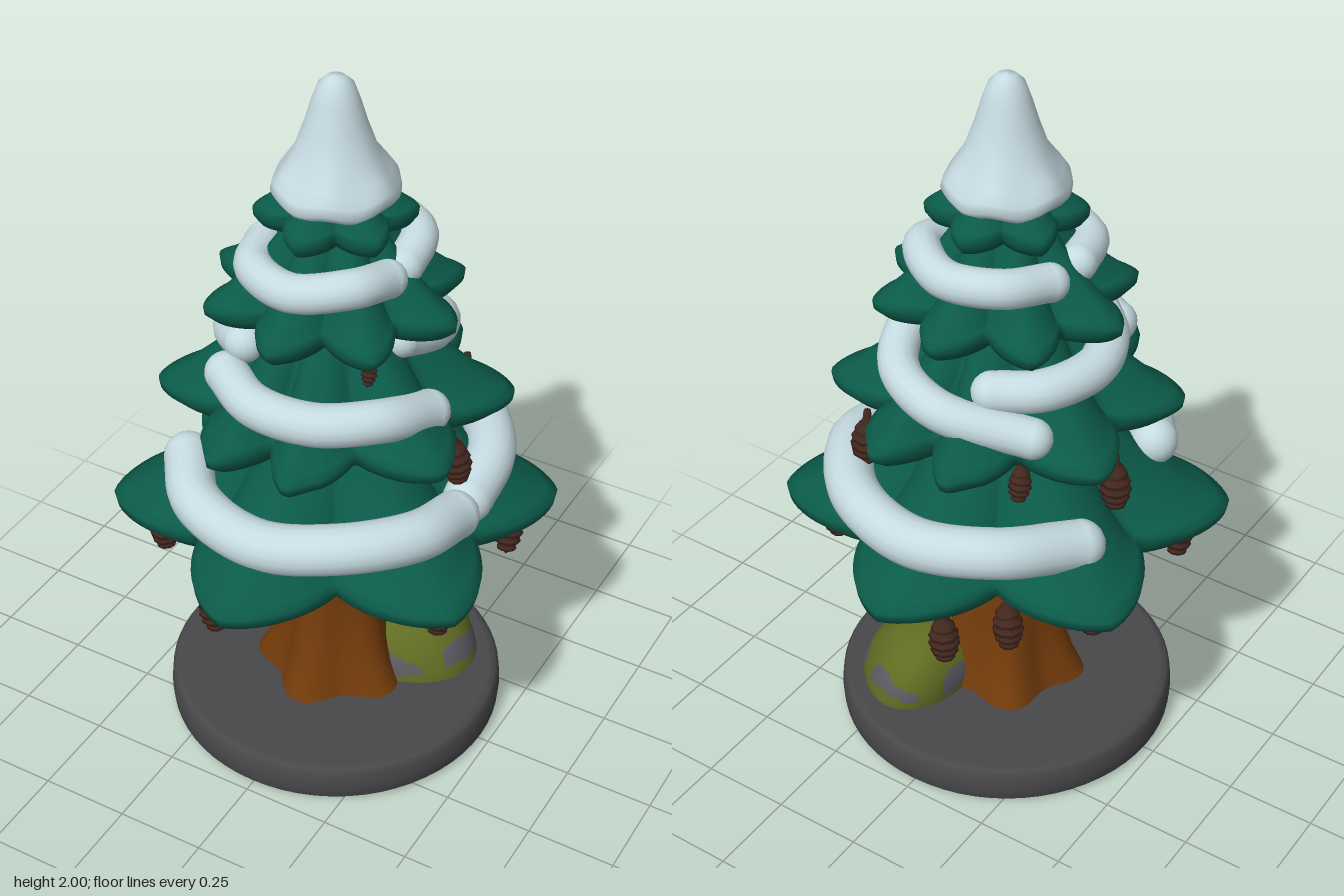
import * as THREE from 'three';

const mat = (name, color) => {
  const m = new THREE.MeshStandardMaterial({ color });
  m.name = name;
  return m;
};
const RAD = Math.PI / 180;

// Closed surface of revolution with free shape: at(row, angle) gives [radius, y], rows run top to bottom
function loft(rows, seg, at) {
  const pos = [], idx = [];
  for (let i = 0; i < rows; i++) {
    for (let j = 0; j < seg; j++) {
      const a = (j / seg) * Math.PI * 2;
      const [r, y] = at(i, a);
      pos.push(r * Math.cos(a), y, r * Math.sin(a));
    }
  }
  for (let i = 0; i < rows - 1; i++) {
    for (let j = 0; j < seg; j++) {
      const k = (j + 1) % seg;
      const a0 = i * seg + j, a1 = i * seg + k, b0 = a0 + seg, b1 = a1 + seg;
      idx.push(a0, a1, b0, b0, a1, b1);
    }
  }
  const g = new THREE.BufferGeometry();
  g.setAttribute('position', new THREE.Float32BufferAttribute(pos, 3));
  g.setIndex(idx);
  g.computeVertexNormals();
  return g;
}

// Leafy skirt whose rim runs out into blunt drooping petals
function skirt({ tip, rim, top, rTop, thick, angles }) {
  const n = 12;
  return loft(n + 5, 144, (i, a) => {
    const dist = angles
      .map((p) => Math.abs(Math.atan2(Math.sin(a - p * RAD), Math.cos(a - p * RAD))))
      .sort((p, q) => p - q);
    const d = Math.min(1, (2 * dist[0]) / (dist[0] + dist[1])); // 0 on a petal, 1 in a notch
    const R = tip * (1 - 0.31 * Math.pow(d, 1.35));
    const yRim = rim + thick * 0.25 * d;
    if (i <= n) {
      const t = i / n;
      const bump = thick * 0.6 * (1 - d * d) * Math.sin(Math.PI * t) * t;
      return [rTop + (R - rTop) * t, top - (top - yRim) * (1 - Math.pow(1 - t, 1.6)) + bump];
    }
    return [
      [R * 0.99, yRim - thick * 0.5],
      [R * 0.91, yRim - thick],
      [R * 0.6, yRim - thick * 0.5],
      [0, yRim + thick * 0.5],
    ][i - n - 1];
  });
}

export function createModel() {
  const model = new THREE.Group();
  const green = mat('needle green', 0x0b5a49);
  const snow = mat('snow', 0xc5dae1);
  const bark = mat('bark brown', 0x743c0b);
  const coneBrown = mat('cone brown', 0x45281f);
  const stone = mat('base grey', 0x48484b);
  const rockGrey = mat('rock grey', 0x5c5a60);
  const moss = mat('moss green', 0x606b22);
  const add = (name, geo, m, parent = model) => {
    const mesh = new THREE.Mesh(geo, m);
    mesh.name = name;
    parent.add(mesh);
    return mesh;
  };

  // Round stone base
  const baseProfile = [[0, 0], [0.45, 0], [0.466, 0.004], [0.475, 0.015], [0.478, 0.05],
    [0.474, 0.09], [0.464, 0.106], [0.445, 0.111], [0, 0.111]];
  add('base', new THREE.LatheGeometry(baseProfile.map((p) => new THREE.Vector2(...p)), 64), stone);

  // Trunk with flaring roots
  const trunkRows = [[0.15, 0.8], [0.148, 0.68], [0.138, 0.56], [0.134, 0.45], [0.142, 0.35],
    [0.158, 0.25], [0.18, 0.17], [0.208, 0.1]];
  add('trunk', loft(trunkRows.length, 60, (i, a) => {
    const [r, y] = trunkRows[i];
    const flare = Math.pow(Math.max(0, (0.6 - y) / 0.5), 1.5);
    return [r * (1 + (0.02 + 0.11 * flare) * Math.cos(5 * a - 90 * RAD)), y];
  }), bark);

  // Mossy rock: a dome leaning on the trunk, its faces split between moss and bare stone
  const seg = 60, rows = 26;
  const rock = loft(rows, seg, (i, a) => {
    const t = (i / (rows - 1)) * Math.PI / 2;
    return [Math.sin(t) * (1 + 0.06 * Math.sin(3 * a + 1)), Math.cos(t)];
  });
  const parts = [[], []], ri = rock.index.array, rp = rock.attributes.position;
  for (let f = 0; f < ri.length; f += 6) {
    const v = ri[f], y = rp.getY(v), a = Math.atan2(rp.getZ(v), rp.getX(v));
    const bare = y > 0.22 + 0.09 * Math.sin(3 * a) && y < 0.46 + 0.1 * Math.sin(4 * a + 1)
      && Math.sin(4 * a + 2) > -0.8;
    parts[bare ? 1 : 0].push(...ri.slice(f, f + 6));
  }
  rock.setIndex([...parts[0], ...parts[1]]);
  rock.addGroup(0, parts[0].length, 0);
  rock.addGroup(parts[0].length, parts[1].length, 1);
  rock.applyMatrix4(new THREE.Matrix4().makeShear(0, 0, -0.2, 0, 0, 0));
  rock.scale(0.165, 0.19, 0.19);
  add('mossyRock', rock, [moss, rockGrey]).position.set(0.19, 0.1, -0.165);

  // Four tiers of branches
  const ring = (n, start) => Array.from({ length: n }, (_, i) => start + (360 / n) * i);
  [
    { tip: 0.61, rim: 0.72, top: 1.1, rTop: 0.17, thick: 0.065, angles: ring(6, 30) },
    { tip: 0.475, rim: 1.085, top: 1.42, rTop: 0.13, thick: 0.055,
      angles: [26, 76, 104, 154, 206, 256, 284, 334] },
    { tip: 0.35, rim: 1.39, top: 1.66, rTop: 0.09, thick: 0.05, angles: ring(8, 0) },
    { tip: 0.21, rim: 1.63, top: 1.76, rTop: 0.06, thick: 0.045, angles: ring(6, 30) },
  ].forEach((t, i) => add('branchTier' + (i + 1), skirt(t), green));

  // Snow cap with a softly scalloped edge
  const capRows = [[0, 2], [0.025, 1.995], [0.046, 1.975], [0.062, 1.93], [0.08, 1.87], [0.105, 1.8],
    [0.14, 1.745], [0.16, 1.715], [0.165, 1.69], [0.15, 1.67], [0.1, 1.672], [0, 1.68]];
  add('snowCap', loft(capRows.length, 60, (i, a) => {
    const [r, y] = capRows[i];
    const w = i > 5 ? Math.sin(6 * a + 0.5) : 0;
    return [r * (1 + 0.01 * w), y + 0.007 * w];
  }), snow);

  // Rolls of snow: points are [angle, radius, height], angle from +x towards +z
  const roll = (name, size, points) => {
    const g = new THREE.Group();
    g.name = name;
    const v = points.map(([a, r, y]) => new THREE.Vector3(r * Math.cos(a * RAD), y, r * Math.sin(a * RAD)));
    add('roll', new THREE.TubeGeometry(new THREE.CatmullRomCurve3(v), 56, size, 16), snow, g);
    for (const p of [v[0], v[v.length - 1]]) {
      add('rollEnd', new THREE.SphereGeometry(size, 18, 14), snow, g).position.copy(p);
    }
    model.add(g);
  };
  roll('lowerFrontSnow', 0.067, [[143, 0.4, 0.88], [120, 0.425, 0.855], [90, 0.42, 0.835],
    [60, 0.43, 0.87], [32, 0.43, 0.87], [8, 0.395, 0.83]]);
  roll('lowerBackSnow', 0.068, [[-4, 0.39, 0.83], [-28, 0.42, 0.865], [-60, 0.445, 0.865],
    [-90, 0.45, 0.85], [-120, 0.445, 0.865], [-152, 0.4, 0.82]]);
  roll('middleFrontSnow', 0.057, [[126, 0.31, 1.21], [100, 0.325, 1.195], [70, 0.33, 1.19],
    [40, 0.33, 1.19], [10, 0.31, 1.14]]);
  roll('middleBackSnow', 0.054, [[4, 0.2, 1.31], [-25, 0.25, 1.27], [-55, 0.3, 1.22],
    [-90, 0.32, 1.19], [-135, 0.33, 1.14]]);
  roll('middleSideSnow', 0.056, [[-115, 0.25, 1.23], [-145, 0.27, 1.24], [-180, 0.275, 1.245],
    [-208, 0.265, 1.26], [-230, 0.25, 1.28]]);
  roll('upperFrontSnow', 0.051, [[165, 0.19, 1.5], [130, 0.22, 1.5], [90, 0.225, 1.5],
    [50, 0.22, 1.525], [16, 0.185, 1.5]]);
  roll('upperBackSnow', 0.051, [[-8, 0.185, 1.5], [-40, 0.215, 1.525], [-80, 0.225, 1.515],
    [-120, 0.22, 1.52], [-158, 0.19, 1.5]]);

  // Hanging pine cones with overlapping scales
  const profile = [[0, -0.155], [0.014, -0.14]];
  [0.028, 0.038, 0.043, 0.041, 0.033].forEach((r, i) => {
    const y = -0.135 + i * 0.025;
    profile.push([r, y], [r * 0.92, y + 0.008], [r * 0.65, y + 0.021]);
  });
  profile.push([0.012, 0], [0.01, 0.03], [0, 0.03]);
  const coneGeo = new THREE.LatheGeometry(profile.map((p) => new THREE.Vector2(...p)), 9);
  [
    [-0.12, 0.67, 0.46], [-0.41, 0.67, 0.25], [0.42, 0.67, -0.24], [0.42, 0.67, 0.18],
    [-0.24, 0.69, -0.36], [-0.12, 0.67, -0.48], [-0.38, 0.67, -0.17],
    [0.37, 1.06, 0.04], [-0.4, 1.05, -0.1], [0.24, 1.05, -0.3], [-0.2, 1.04, -0.23, 0.75],
    [0.195, 1.33, 0.165, 0.5],
  ].forEach(([x, y, z, s = 1], i) => {
    const c = add('pineCone', coneGeo, coneBrown);
    c.position.set(x, y, z);
    c.scale.setScalar(s);
    c.rotation.set(0.12 * Math.sin(i * 2.1), i, 0.12 * Math.cos(i * 1.7));
  });

  return model;
}
